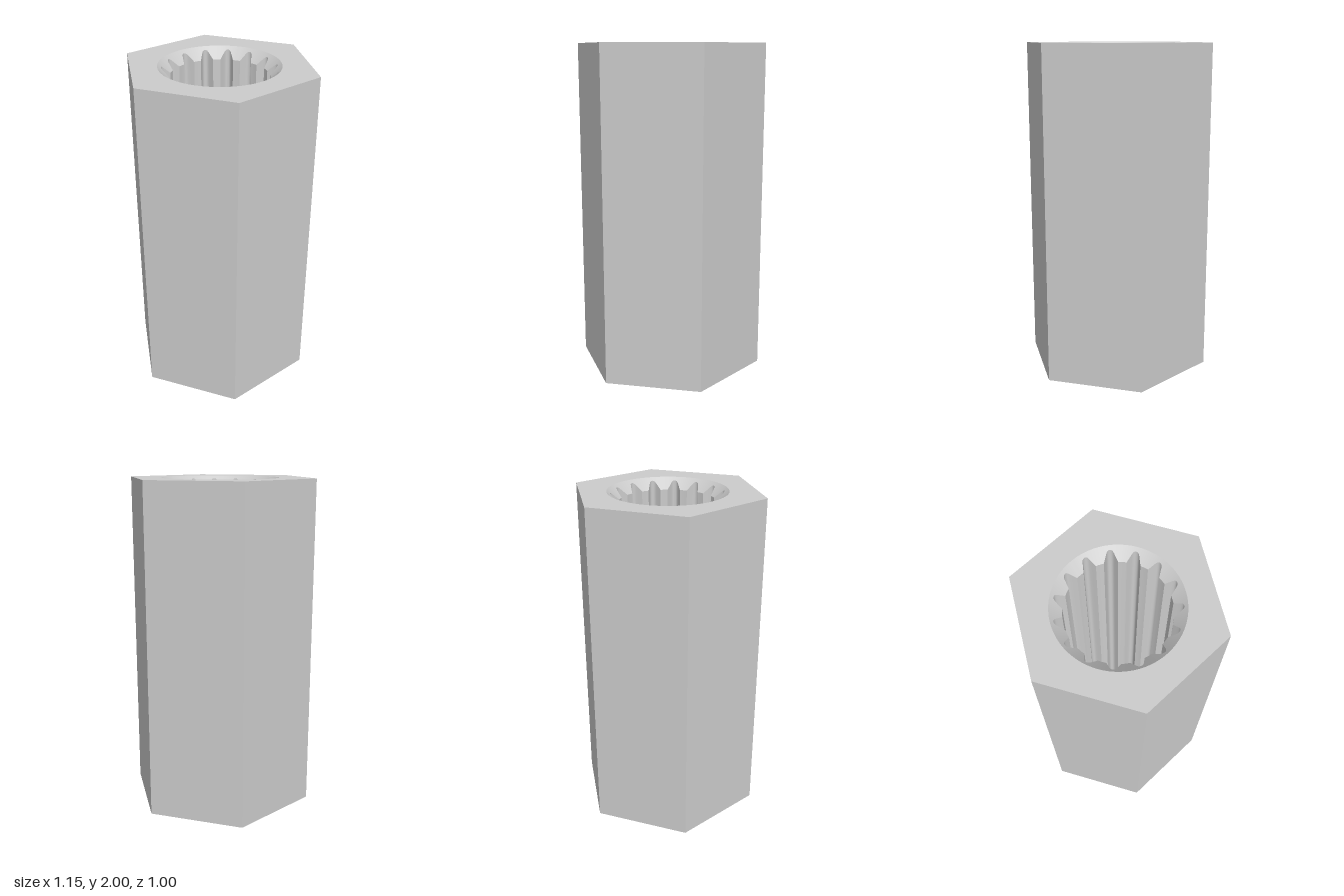
import * as THREE from 'three';
import { toCreasedNormals } from 'three/addons/utils/BufferGeometryUtils.js';

const HEIGHT = 2, TEETH = 15, RIM = 0.35;
const HEX_RADIUS = 1 / Math.sqrt(3);

// Half of one rounded groove [sideways, outward], then the tooth tip arc
const groove = [
  [0.0375, 0.2825], [0.027, 0.304], [0.02, 0.318], [0.014, 0.327], [0.007, 0.3312],
];

// Bore outline as polar points: angle from +z towards +x, and radius
function boreOutline() {
  const half = groove.map(([s, d]) => [Math.atan2(s, d), Math.hypot(s, d)]);
  const pitch = (2 * Math.PI) / TEETH;
  const cell = [
    ...half.map(([a, r]) => [-a, r]),
    [0, 0.332],
    ...half.slice().reverse(),
    [pitch / 2 - 0.026, 0.285],
    [pitch / 2 + 0.026, 0.285],
  ];
  const outline = [];
  for (let i = 0; i < TEETH; i++) {
    for (const [a, r] of cell) outline.push([a + i * pitch, r]);
  }
  return outline;
}

// Splined wall with a 45 degree countersink at each end
function boreGeometry(outline) {
  const n = outline.length, positions = [], index = [];
  for (const [a, r] of outline) {
    const drop = RIM - r;
    for (const [radius, y] of [[RIM, 0], [r, drop], [r, HEIGHT - drop], [RIM, HEIGHT]]) {
      positions.push(radius * Math.sin(a), y, radius * Math.cos(a));
    }
  }
  for (let i = 0; i < n; i++) {
    for (let j = 0; j < 3; j++) {
      const p = i * 4 + j, q = ((i + 1) % n) * 4 + j;
      index.push(p, p + 1, q, q, p + 1, q + 1);
    }
  }
  const geometry = new THREE.BufferGeometry();
  geometry.setAttribute('position', new THREE.Float32BufferAttribute(positions, 3));
  geometry.setIndex(index);
  return toCreasedNormals(geometry, 0.6);
}

// Hexagonal end face with a round opening
function endGeometry(outline) {
  const corners = [];
  for (let i = 0; i < 6; i++) {
    const a = (i * Math.PI) / 3;
    corners.push(new THREE.Vector2(HEX_RADIUS * Math.cos(a), HEX_RADIUS * Math.sin(a)));
  }
  const shape = new THREE.Shape(corners);
  shape.holes.push(new THREE.Path(
    outline.map(([a]) => new THREE.Vector2(RIM * Math.sin(a), -RIM * Math.cos(a)))
  ));
  return new THREE.ShapeGeometry(shape).rotateX(-Math.PI / 2);
}

export function createModel() {
  const group = new THREE.Group();
  group.name = 'splinedHexSleeve';
  const material = new THREE.MeshStandardMaterial({ color: 0xcccccc });
  const add = (name, geometry) => {
    const mesh = new THREE.Mesh(geometry, material);
    mesh.name = name;
    group.add(mesh);
  };
  const outline = boreOutline();

  // Six flat outer sides, corners on the x axis
  const sides = new THREE.CylinderGeometry(HEX_RADIUS, HEX_RADIUS, HEIGHT, 6, 1, true)
    .rotateY(Math.PI / 6)
    .translate(0, HEIGHT / 2, 0);
  add('hexSides', toCreasedNormals(sides, 0.3));

  // End faces
  add('topFace', endGeometry(outline).translate(0, HEIGHT, 0));
  add('bottomFace', endGeometry(outline).rotateZ(Math.PI));

  // Internal teeth and countersinks
  add('splinedBore', boreGeometry(outline));
  return group;
}
